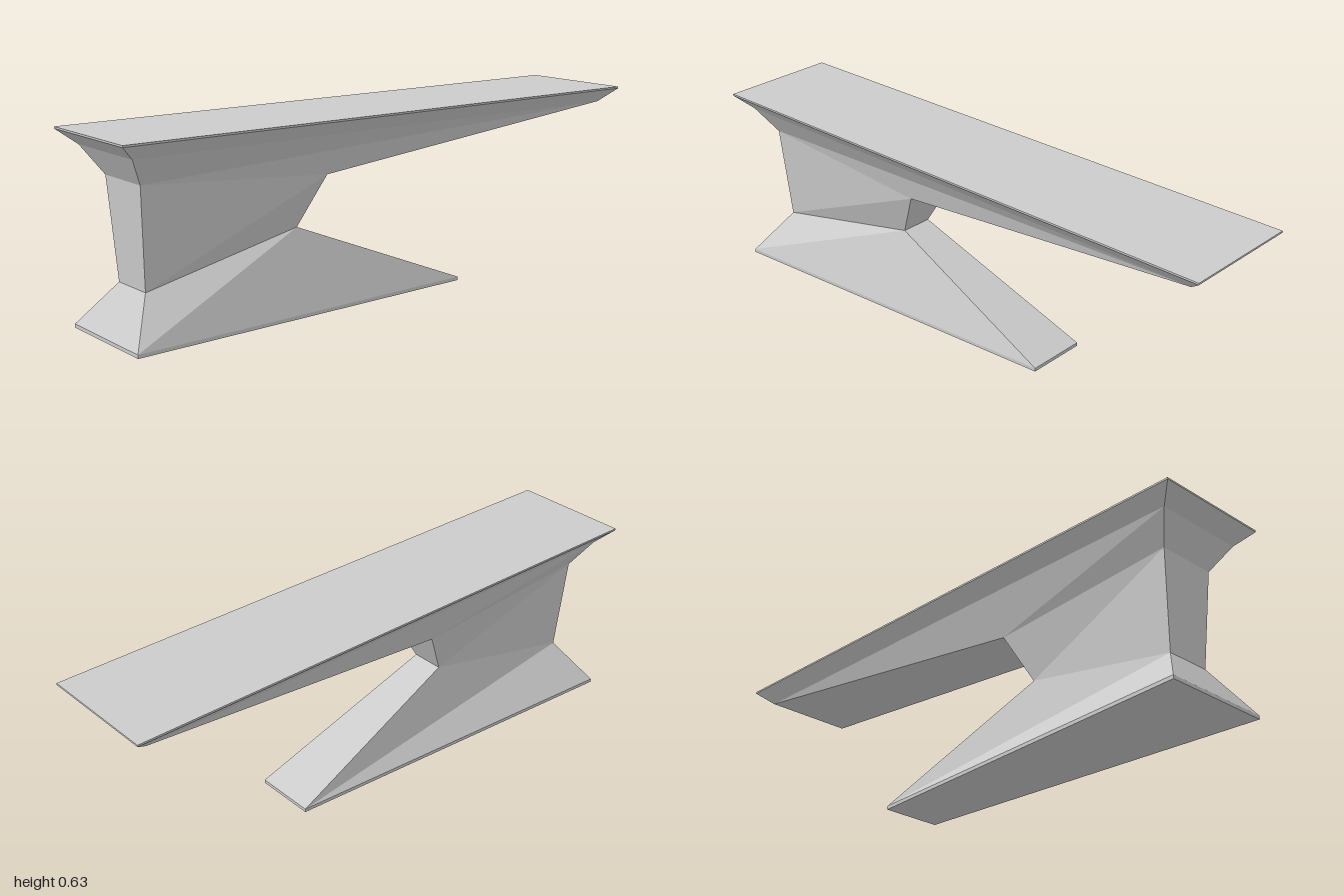
import * as THREE from 'three';

// Cross-section: [x, y, half depth] at the -x end and at the +x end
const ring = (l, r) => [
  [l[0], l[1], l[2]], [r[0], r[1], r[2]],
  [r[0], r[1], -r[2]], [l[0], l[1], -l[2]],
];

const footBottom = ring([-0.965, 0, 0.195], [0.336, 0, 0.107]);
const footEdge = ring([-0.965, 0.012, 0.195], [0.336, 0.012, 0.107]);
const waist = ring([-0.87, 0.155, 0.08], [-0.305, 0.27, 0.057]);
const neck = ring([-0.89, 0.485, 0.105], [-0.22, 0.438, 0.106]);
const underside = ring([-0.945, 0.575, 0.163], [0.945, 0.575, 0.163]);
const lip = ring([-1, 0.622, 0.21], [1, 0.622, 0.21]);
const topEdge = ring([-1, 0.628, 0.21], [1, 0.628, 0.21]);

// Joins successive four-cornered sections, closing either end on request
function loft(name, rings, capBottom, capTop) {
  const pos = [];
  const quad = (a, b, c, d) => pos.push(...a, ...b, ...c, ...a, ...c, ...d);
  for (let k = 0; k < rings.length - 1; k++) {
    const lo = rings[k], hi = rings[k + 1];
    for (let i = 0; i < 4; i++) {
      const j = (i + 1) % 4;
      quad(lo[i], lo[j], hi[j], hi[i]);
    }
  }
  if (capBottom) quad(...[...rings[0]].reverse());
  if (capTop) quad(...rings[rings.length - 1]);
  const geo = new THREE.BufferGeometry();
  geo.setAttribute('position', new THREE.Float32BufferAttribute(pos, 3));
  geo.computeVertexNormals();
  const mesh = new THREE.Mesh(geo, new THREE.MeshStandardMaterial({ color: 0xcccccc, flatShading: true }));
  mesh.name = name;
  return mesh;
}

export function createModel() {
  const group = new THREE.Group();
  group.name = 'cantileverTable';
  group.add(
    loft('foot', [footBottom, footEdge, waist], true, false),
    loft('pedestal', [waist, neck], false, false),
    loft('cantileverSupport', [neck, underside], false, false),
    loft('tabletop', [underside, lip, topEdge], false, true),
  );
  return group;
}
